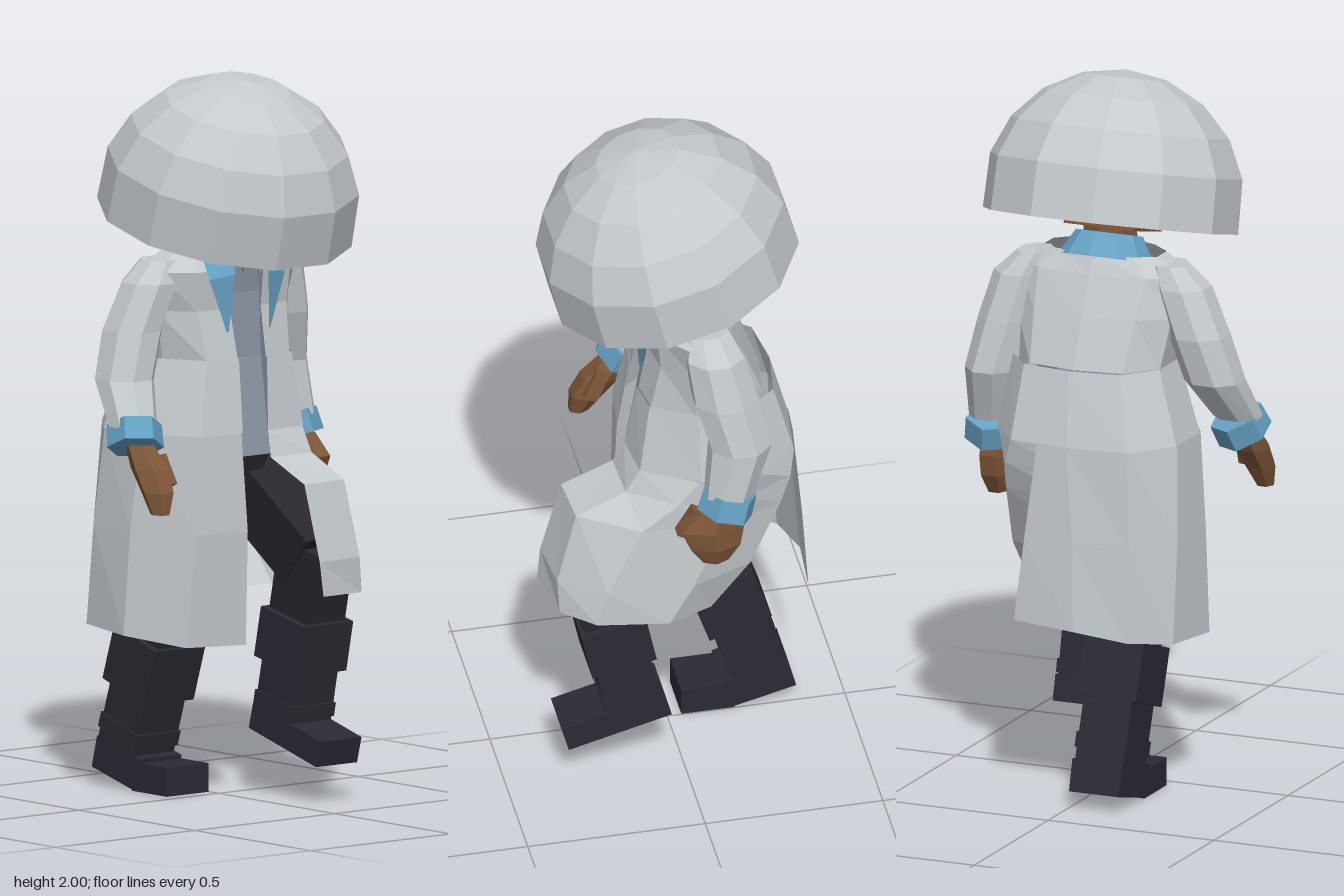
import * as THREE from 'three';

const mat = (name, color, side = THREE.FrontSide) => {
  const m = new THREE.MeshStandardMaterial({ color, side });
  m.name = name;
  return m;
};

export function createModel() {
  const model = new THREE.Group();
  const coat = mat('coatGrey', 0xc4c9cc, THREE.DoubleSide);
  const lining = mat('hatLining', 0x6b7d8a, THREE.BackSide);
  const blue = mat('trimBlue', 0x65a1c4, THREE.DoubleSide);
  const shirtMat = mat('shirtGrey', 0x8c96a5);
  const skin = mat('skinBrown', 0x7e5638);
  const dark = mat('trouserBlack', 0x27272c);
  const bootMat = mat('bootBlack', 0x2b2a34);
  const V = (x, y, z) => new THREE.Vector3(x, y, z);

  // Faceted mesh with one normal per face
  function add(name, geo, material, parent = model) {
    const g = geo.index ? geo.toNonIndexed() : geo;
    g.computeVertexNormals();
    const m = new THREE.Mesh(g, material);
    m.name = name;
    parent.add(m);
    return m;
  }

  // Grid of points as a surface: open sheet, or closed and capped body
  function skinGrid(rows, closed) {
    const n = rows[0].length, pos = [], idx = [];
    rows.forEach(r => r.forEach(p => pos.push(...p)));
    for (let i = 0; i < rows.length - 1; i++) {
      for (let j = 0; j < (closed ? n : n - 1); j++) {
        const k = (j + 1) % n, a = i * n, b = a + n;
        idx.push(a + j, b + j, b + k, a + j, b + k, a + k);
      }
    }
    if (closed) {
      const e = (rows.length - 1) * n;
      for (let j = 1; j < n - 1; j++) idx.push(0, j, j + 1, e, e + j + 1, e + j);
    }
    const g = new THREE.BufferGeometry();
    g.setAttribute('position', new THREE.Float32BufferAttribute(pos, 3));
    g.setIndex(idx);
    return g;
  }

  // Body from horizontal rings [x, y, z, rx, rz], top to bottom
  const loft = (rings, sides) => skinGrid(rings.map(([x, y, z, rx, rz]) =>
    Array.from({ length: sides }, (_, j) => {
      const a = (j + 0.5) / sides * Math.PI * 2;
      return [x + rx * Math.sin(a), y, z + rz * Math.cos(a)];
    })), true);

  // Geometry of a given height placed between two points
  function between(name, a, b, geoOf, material) {
    const d = b.clone().sub(a), m = add(name, geoOf(d.length()), material);
    m.position.copy(a).add(b).multiplyScalar(0.5);
    m.quaternion.setFromUnitVectors(V(0, -1, 0), d.normalize());
    return m;
  }
  const bar = (name, a, b, w, d, material) =>
    between(name, a, b, h => new THREE.BoxGeometry(w, h, d), material);

  // Tilted domed hat with a darker lining, and the head under it
  const headGroup = new THREE.Group();
  headGroup.name = 'headAndHat';
  headGroup.position.set(0.03, 1.652, 0.006);
  headGroup.rotation.x = 0.26;
  model.add(headGroup);
  const dome = [101, 76, 57, 38, 19, 0].map(t => {
    const a = t * Math.PI / 180;
    return new THREE.Vector2(0.364 * Math.sin(a), 0.352 * Math.cos(a));
  });
  const domeGeo = () => new THREE.LatheGeometry(dome, 12, Math.PI / 12);
  add('hat', domeGeo(), coat, headGroup);
  add('hatLining', domeGeo(), lining, headGroup).scale.setScalar(0.985);
  add('head', new THREE.BoxGeometry(0.25, 0.26, 0.25), skin, headGroup).position.set(0, 0.08, 0);
  add('jaw', new THREE.BoxGeometry(0.21, 0.05, 0.2), skin, headGroup).position.set(0, -0.06, 0.02);
  for (const s of [1, -1]) {
    const ear = add('ear', new THREE.CylinderGeometry(0.03, 0.035, 0.03, 6), skin, headGroup);
    ear.rotation.z = Math.PI / 2;
    ear.position.set(s * 0.135, 0.03, -0.01);
  }
  add('neck', new THREE.CylinderGeometry(0.075, 0.085, 0.18, 8), skin).position.set(0.03, 1.55, -0.015);

  // Shirt and trouser seat
  add('shirt', loft([
    [0.03, 1.5, -0.02, 0.1, 0.1], [0.03, 1.4, -0.045, 0.17, 0.115],
    [0.03, 1.22, -0.075, 0.18, 0.15], [0.02, 0.95, -0.07, 0.2, 0.19]], 8), shirtMat);
  add('trouserSeat', loft([
    [0.02, 0.96, -0.07, 0.19, 0.18], [0.02, 0.8, -0.09, 0.17, 0.16]], 8), dark);

  // Upper coat: half outline mirrored, [y, centre x, half width, front z, back z, opening]
  const coatTop = [
    [1.52, 0.03, 0.17, 0.05, -0.13, 0.07], [1.47, 0.03, 0.25, 0.085, -0.155, 0.06],
    [1.36, 0.033, 0.235, 0.075, -0.2, 0.055], [1.22, 0.036, 0.215, 0.1, -0.25, 0.05]];
  const coatWaist = [[1.225, 0.036, 0.222, 0.105, -0.28, 0.05], [1.02, 0.02, 0.27, 0.135, -0.335, 0.045]];
  const coatRow = ([y, cx, w, f, b, o]) => {
    const half = [[o, f], [0.68 * w, f - 0.015], [w, f + (b - f) * 0.36],
      [w, f + (b - f) * 0.7], [0.65 * w, b + 0.02]];
    const right = half.map(([x, z]) => [cx - x, y, z]).reverse();
    return [...half.map(([x, z]) => [cx + x, y, z]), [cx, y, b], ...right];
  };
  add('coatBody', skinGrid(coatTop.map(coatRow)), coat);
  add('coatWaist', skinGrid(coatWaist.map(coatRow)), coat);

  // Left skirt panel swung forward over the raised knee, wrapping in behind the thigh
  add('leftSkirt', skinGrid([
    [[0.065, 1.02, 0.135], [0.2, 1.02, 0.12], [0.29, 1.02, -0.03], [0.29, 1.02, -0.19], [0.196, 1.02, -0.315], [0.02, 1.02, -0.334]],
    [[0.05, 0.95, 0.165], [0.2, 0.95, 0.16], [0.29, 0.95, 0.03], [0.295, 0.95, -0.15], [0.22, 0.95, -0.3], [0.01, 0.95, -0.33]],
    [[0.05, 0.89, 0.31], [0.2, 0.89, 0.3], [0.285, 0.87, 0.13], [0.3, 0.87, -0.1], [0.23, 0.87, -0.27], [0, 0.87, -0.315]],
    [[0.055, 0.68, 0.37], [0.21, 0.68, 0.355], [0.295, 0.68, 0.23], [0.31, 0.68, -0.01], [0.25, 0.69, -0.18], [0, 0.69, -0.24]],
    [[0.06, 0.585, 0.38], [0.22, 0.58, 0.35], [0.295, 0.575, 0.26], [0.315, 0.565, 0.06], [0.25, 0.555, -0.07], [0.005, 0.545, -0.125]],
  ]), coat);

  // Right skirt panel with the tail behind the slit
  add('rightSkirt', skinGrid([
    [[0.11, 1.02, -0.33], [0.02, 1.02, -0.337], [-0.155, 1.02, -0.315], [-0.25, 1.02, -0.19], [-0.25, 1.02, -0.03], [-0.16, 1.02, 0.12], [-0.03, 1.02, 0.135]],
    [[0.14, 0.75, -0.35], [-0.01, 0.75, -0.358], [-0.17, 0.75, -0.33], [-0.265, 0.75, -0.22], [-0.275, 0.75, -0.05], [-0.18, 0.75, 0.12], [-0.02, 0.75, 0.15]],
    [[0.165, 0.52, -0.362], [-0.02, 0.51, -0.378], [-0.17, 0.485, -0.345], [-0.265, 0.47, -0.25], [-0.29, 0.46, -0.06], [-0.2, 0.435, 0.1], [-0.01, 0.43, 0.13]],
  ]), coat);

  // Blue collar band, open at the front, and its two points
  const collar = add('collar', new THREE.CylinderGeometry(0.095, 0.135, 0.07, 10, 1, true, 0.35, Math.PI * 2 - 0.7), blue);
  collar.position.set(0.03, 1.52, -0.025);
  collar.rotation.x = 0.3;
  for (const s of [1, -1]) {
    const p = (x, y, z) => [0.026 + s * x, y, z];
    add('collarPoint', skinGrid([
      [p(0.045, 1.51, 0.09), p(0.13, 1.5, 0.06)],
      [p(0.06, 1.46, 0.112), p(0.135, 1.45, 0.092)],
      [p(0.072, 1.3, 0.1), p(0.078, 1.3, 0.098)]]), blue);
  }

  // Sleeves, cuffs and hands; the right arm swings forward, the left one back
  const arms = [
    { side: 'left', rings: [[0.23, 1.5, -0.065, 0.05, 0.06], [0.265, 1.44, -0.075, 0.08, 0.085], [0.295, 1.31, -0.1, 0.085, 0.095],
      [0.325, 1.17, -0.135, 0.08, 0.09], [0.345, 1.02, -0.1, 0.065, 0.07]],
      cuff: [V(0.341, 1.02, -0.105), V(0.35, 0.95, -0.085)],
      hand: [[0.345, 0.97, -0.075, 0.04, 0.06], [0.345, 0.91, -0.05, 0.05, 0.1], [0.345, 0.85, -0.058, 0.048, 0.08], [0.345, 0.795, -0.06, 0.03, 0.04]],
      thumb: [V(0.32, 0.95, -0.02), V(0.315, 0.87, 0.025)] },
    { side: 'right', rings: [[-0.17, 1.5, -0.05, 0.05, 0.06], [-0.205, 1.44, -0.05, 0.08, 0.085], [-0.26, 1.31, -0.06, 0.085, 0.09],
      [-0.3, 1.18, -0.045, 0.085, 0.085], [-0.335, 1.06, 0.035, 0.07, 0.065]],
      cuff: [V(-0.327, 1.065, 0.03), V(-0.347, 1, 0.06)],
      hand: [[-0.34, 1.01, 0.07, 0.04, 0.045], [-0.342, 0.95, 0.115, 0.05, 0.06], [-0.348, 0.89, 0.155, 0.045, 0.05], [-0.355, 0.83, 0.175, 0.025, 0.03]],
      thumb: [V(-0.315, 0.98, 0.115), V(-0.308, 0.9, 0.155)] }];
  for (const a of arms) {
    add(a.side + 'Sleeve', loft(a.rings, 8), coat);
    between(a.side + 'Cuff', a.cuff[0], a.cuff[1], h => new THREE.CylinderGeometry(0.077, 0.08, h * 0.9, 6), blue);
    add(a.side + 'Hand', loft(a.hand, 6), skin);
    bar(a.side + 'Thumb', a.thumb[0], a.thumb[1], 0.035, 0.04, skin);
  }

  // Legs: thigh, shin, and a boot with a wide cuff and an ankle strap
  const legs = [
    { side: 'left', hip: V(0.11, 0.9, -0.04), knee: V(0.15, 0.67, 0.235), ankle: V(0.15, 0.2, 0.135), top: 0.34 },
    { side: 'right', hip: V(-0.07, 0.9, -0.07), knee: V(-0.085, 0.62, -0.09), ankle: V(-0.08, 0.1, -0.265), top: 0.36 }];
  for (const { side, hip, knee, ankle, top } of legs) {
    const at = t => knee.clone().lerp(ankle, t);
    bar(side + 'Thigh', hip, knee, 0.15, 0.17, dark);
    bar(side + 'Shin', at(-0.08), at(0.6), 0.14, 0.16, dark);
    bar(side + 'BootCuff', at(top), at(top + 0.3), 0.18, 0.185, bootMat);
    bar(side + 'BootShaft', at(0.5), at(1), 0.145, 0.155, bootMat);
    bar(side + 'AnkleStrap', at(0.84), at(0.92), 0.155, 0.165, bootMat);
  }

  // Feet: the left one in the air, the right one pushing off its toe
  const foot = (name, w, h, d, x, y, z, pitch) => {
    const m = add(name, new THREE.BoxGeometry(w, h, d), bootMat);
    m.position.set(x, y, z);
    m.rotation.x = pitch;
  };
  foot('leftFoot', 0.147, 0.075, 0.3, 0.152, 0.178, 0.19, 0.26);
  foot('rightToe', 0.15, 0.08, 0.15, -0.077, 0.041, -0.115, 0);
  foot('rightHeel', 0.15, 0.092, 0.19, -0.077, 0.07, -0.26, 0.25);

  return model;
}
